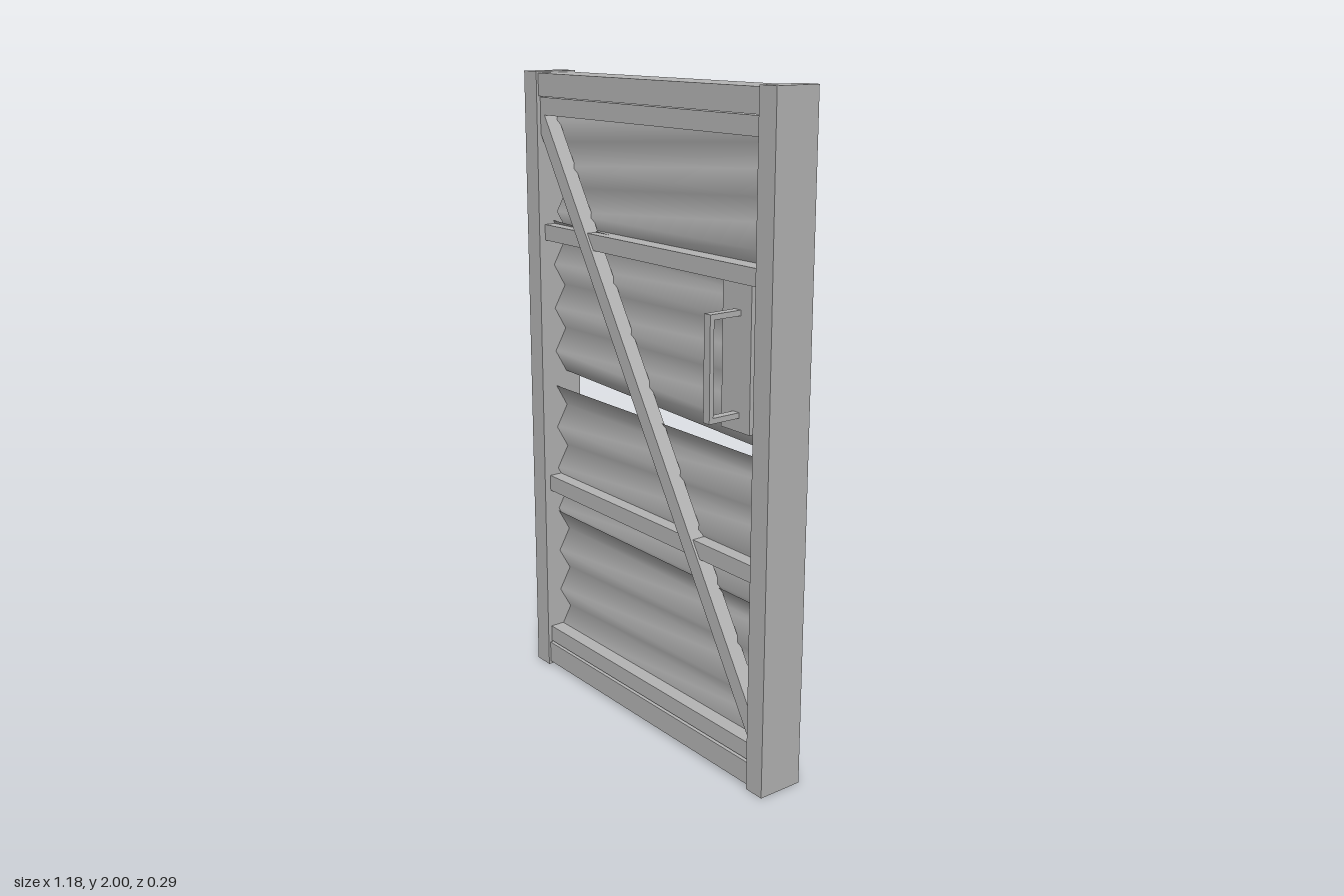
import * as THREE from 'three';

export function createModel() {
  const door = new THREE.Group();
  door.name = 'corrugatedDoor';
  const metal = new THREE.MeshStandardMaterial({ color: 0xb4b4b4, side: THREE.DoubleSide });
  metal.name = 'grey';

  const add = (name, geometry, parent = door) => {
    const mesh = new THREE.Mesh(geometry, metal);
    mesh.name = name;
    parent.add(mesh);
    return mesh;
  };
  // Box given by its limits on each axis
  const box = (name, [x0, x1], [y0, y1], [z0, z1], parent) => {
    const mesh = add(name, new THREE.BoxGeometry(x1 - x0, y1 - y0, z1 - z0), parent);
    mesh.position.set((x0 + x1) / 2, (y0 + y1) / 2, (z0 + z1) / 2);
    return mesh;
  };

  // Outer frame
  const inner = [-0.517, 0.521];
  box('rightPost', [-0.585, -0.517], [0, 2], [-0.073, 0.073]);
  box('leftPost', [0.521, 0.588], [0, 2], [-0.073, 0.073]);
  box('topRail', inner, [1.925, 1.995], [-0.066, 0.066]);
  box('bottomRail', inner, [0.01, 0.081], [-0.066, 0.066]);

  // Cross rails and the front battens against the frame
  box('upperCrossRail', inner, [1.475, 1.525], [-0.052, 0.052]);
  box('lowerCrossRail', inner, [0.632, 0.684], [-0.052, 0.052]);
  box('topBatten', inner, [1.868, 1.922], [0.012, 0.06]);
  box('bottomBatten', inner, [0.086, 0.14], [0.012, 0.06]);

  // Diagonal brace, cut to fit the frame corners
  const brace = new THREE.Shape([
    [-0.517, 1.81], [0.521, 0.14], [0.521, 0.235], [-0.495, 1.868], [-0.517, 1.868],
  ].map(([x, y]) => new THREE.Vector2(x, y)));
  add('diagonalBrace', new THREE.ExtrudeGeometry(brace, { depth: 0.048, bevelEnabled: false }))
    .position.z = 0.012;

  // Corrugated sheets: folded strips with soft normals
  const sheet = (name, width, x, y, tilt = 0) => {
    const folds = 7;
    const geometry = new THREE.PlaneGeometry(width, 0.5, 1, folds);
    const p = geometry.attributes.position;
    for (let i = 0; i < p.count; i++) {
      p.setZ(i, Math.floor(i / 2) % 2 === 0 ? 0.02 : -0.02);
    }
    geometry.computeVertexNormals();
    const mesh = add(name, geometry);
    mesh.position.set(x, y, 0);
    mesh.rotation.z = tilt;
  };
  sheet('topSheet', 0.985, -0.003, 1.745);
  sheet('upperSheet', 1.16, -0.003, 1.268, -0.034);
  sheet('lowerSheet', 1.16, -0.009, 0.74);
  sheet('bottomSheet', 1.16, -0.009, 0.302);

  // Handle plate and a pull on each side
  box('handlePlate', [0.35, 0.47], [1.055, 1.475], [-0.04, 0.04]);
  for (const side of [1, -1]) {
    const handle = new THREE.Group();
    handle.name = side > 0 ? 'frontHandle' : 'backHandle';
    door.add(handle);
    const span = (a, b) => (side > 0 ? [a, b] : [-b, -a]);
    const width = [0.4, 0.426];
    box('grip', width, [1.095, 1.4], span(0.133, 0.147), handle);
    box('upperArm', width, [1.384, 1.4], span(0.035, 0.133), handle);
    box('lowerArm', width, [1.095, 1.111], span(0.035, 0.133), handle);
  }
  return door;
}
